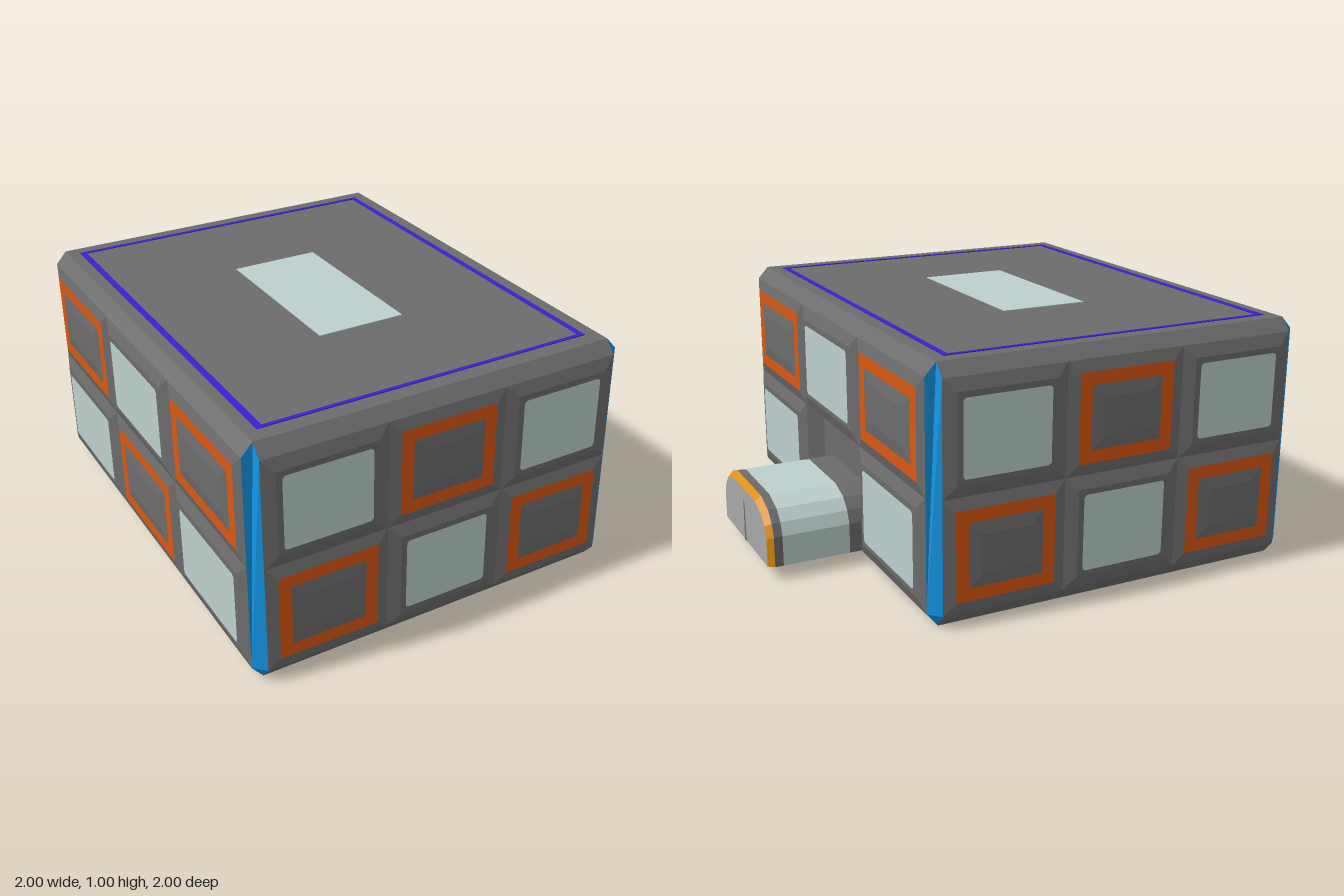
import * as THREE from 'three';

const mat = (name, color) => Object.assign(new THREE.MeshStandardMaterial({ color }), { name });

export function createModel() {
  const M = {
    hull: mat('hull grey', 0x6c6c6c),
    glass: mat('pale glass', 0xbdd0cd),
    orange: mat('orange', 0xdb5810),
    blue: mat('corner blue', 0x1296e4),
    violet: mat('violet', 0x3a20d0),
    gold: mat('gold', 0xdc8f0c),
    door: mat('door grey', 0xa8a8a8),
  };
  const model = new THREE.Group();
  model.name = 'habitatModule';

  // Collects flat faces (counter-clockwise corners) by material, then makes one mesh for each
  function builder(group, prefix) {
    const bins = {};
    const face = (m, ...p) => {
      const bin = (bins[m] ??= []);
      for (let i = 1; i < p.length - 1; i++) bin.push(...p[0], ...p[i], ...p[i + 1]);
    };
    const finish = () => {
      for (const [m, list] of Object.entries(bins)) {
        const g = new THREE.BufferGeometry();
        g.setAttribute('position', new THREE.Float32BufferAttribute(list, 3));
        g.computeVertexNormals();
        const mesh = new THREE.Mesh(g, M[m]);
        mesh.name = prefix + m[0].toUpperCase() + m.slice(1);
        group.add(mesh);
      }
    };
    return { face, finish };
  }

  // Rectangle corners of a cell, inset by i at height h above the wall
  const rect = ([u0, u1, v0, v1], i, h) => [
    [u0 + i, v0 + i, h], [u1 - i, v0 + i, h], [u1 - i, v1 - i, h], [u0 + i, v1 - i, h],
  ];
  const ring = (face, m, a, b) => {
    for (let k = 0; k < 4; k++) face(m, a[k], a[(k + 1) % 4], b[(k + 1) % 4], b[k]);
  };

  // Raised pads: a bevelled window, an orange framed block, or a sunken doorway
  function cell(face, c, type) {
    const base = rect(c, 0, 0);
    if (type === 'doorway') {
      const back = rect(c, 0.05, -0.06);
      ring(face, 'hull', base, back);
      face('hull', ...back);
    } else if (type === 'window') {
      const pad = rect(c, 0.05, 0.017);
      ring(face, 'hull', base, pad);
      face('hull', ...pad);
      const [u0, v0] = rect(c, 0.072, 0)[0], [u1, v1] = rect(c, 0.072, 0)[2];
      const h = 0.02, r = 0.01;
      face('glass', [u0 + r, v0, h], [u1 - r, v0, h], [u1, v0 + r, h], [u1, v1 - r, h],
        [u1 - r, v1, h], [u0 + r, v1, h], [u0, v1 - r, h], [u0, v0 + r, h]);
    } else {
      const outer = rect(c, 0.047, 0.013), inner = rect(c, 0.098, 0.013), top = rect(c, 0.148, 0.02);
      ring(face, 'hull', base, outer);
      ring(face, 'orange', outer, inner);
      ring(face, 'hull', inner, top);
      face('hull', ...top);
    }
  }

  // One wall: six cells, chamfers above and below, and the blue strip at its right end
  const Y0 = 0.055, Y1 = 0.95, YM = 0.505, C = 0.045, CX = -0.185;
  function wall(name, turn, w, dist, upper, lower) {
    const group = new THREE.Group();
    group.name = name;
    group.rotation.y = turn;
    group.position.set(CX + Math.sin(turn) * dist, 0, Math.cos(turn) * dist);
    const { face, finish } = builder(group, name);
    for (let i = 0; i < 3; i++) {
      const u0 = -w + (2 * w * i) / 3, u1 = u0 + (2 * w) / 3;
      cell(face, [u0, u1, YM, Y1], upper[i]);
      cell(face, [u0, u1, Y0, YM], lower[i]);
    }
    face('hull', [-w, Y1, 0], [w, Y1, 0], [w, 1, -C], [-w, 1, -C]);
    face('hull', [-w, 0, -C], [w, 0, -C], [w, Y0, 0], [-w, Y0, 0]);
    face('blue', [w, Y0, 0], [w, 0, -C], [w + C, Y0, -C], [w + C, Y1, -C], [w, 1, -C], [w, Y1, 0]);
    finish();
    model.add(group);
    return group;
  }
  const W = 'window', F = 'frame';
  wall('frontWall', 0, 0.75, 0.98, [W, F, W], [F, W, F]);
  wall('backWall', Math.PI, 0.75, 0.98, [W, F, W], [F, W, F]);
  wall('rightWall', -Math.PI / 2, 0.935, 0.795, [F, W, F], [W, F, W]);
  const doorWall = wall('leftWall', Math.PI / 2, 0.935, 0.795, [F, W, F], [W, 'doorway', W]);

  // Roof and floor
  for (const [name, y, turn] of [['roof', 1, -1], ['floor', 0, 1]]) {
    const mesh = new THREE.Mesh(new THREE.PlaneGeometry(1.5, 1.87), M.hull);
    mesh.name = name;
    mesh.rotation.x = (turn * Math.PI) / 2;
    mesh.position.set(CX, y, 0);
    model.add(mesh);
  }

  // Roof skylight and violet border
  const plate = (name, m, x0, x1, z0, z1) => {
    const mesh = new THREE.Mesh(new THREE.BoxGeometry(x1 - x0, 0.004, z1 - z0), m);
    mesh.name = name;
    mesh.position.set((x0 + x1) / 2, 1.001, (z0 + z1) / 2);
    model.add(mesh);
  };
  plate('skylight', M.glass, -0.37, 0, -0.372, 0.368);
  plate('roofLineRight', M.violet, -0.887, -0.862, -0.88, 0.87);
  plate('roofLineLeft', M.violet, 0.488, 0.51, -0.88, 0.87);
  plate('roofLineBack', M.violet, -0.862, 0.488, -0.88, -0.863);
  plate('roofLineFront', M.violet, -0.862, 0.488, 0.853, 0.87);

  // Entrance tunnel: arched cross-sections joined along its length
  const tunnel = new THREE.Group();
  tunnel.name = 'entranceTunnel';
  doorWall.add(tunnel);
  const half = [[0.305, 0.055], [0.305, 0.18], [0.285, 0.232], [0.245, 0.275], [0.16, 0.305]];
  const arch = [...half, ...half.map(([u, v]) => [-u, v]).reverse()];
  const section = (x, inset) => arch.map(([u, v]) => [
    u * (1 - inset / 0.305), Y0 + (v - Y0) * (1 - inset / 0.25), x - 0.61,
  ]);
  const { face, finish } = builder(tunnel, 'tunnel');
  const steps = [[0.55, 0], [0.66, 0, 'hull'], [0.94, 0, 'glass'], [0.975, 0, 'hull'], [1, 0.02, 'gold']];
  for (let s = 1; s < steps.length; s++) {
    const a = section(steps[s - 1][0], steps[s - 1][1]), b = section(steps[s][0], steps[s][1]);
    for (let k = 0; k < a.length; k++) {
      const n = (k + 1) % a.length;
      const m = n === 0 ? 'hull' : steps[s][2];
      face(m, b[k], a[k], a[n], b[n]);
    }
  }
  face('door', ...section(1, 0.02));
  // Door seam
  face('hull', [-0.013, Y0, 0.392], [0.013, Y0, 0.392], [0.007, 0.22, 0.392], [0, 0.24, 0.392], [-0.007, 0.22, 0.392]);
  finish();

  return model;
}
